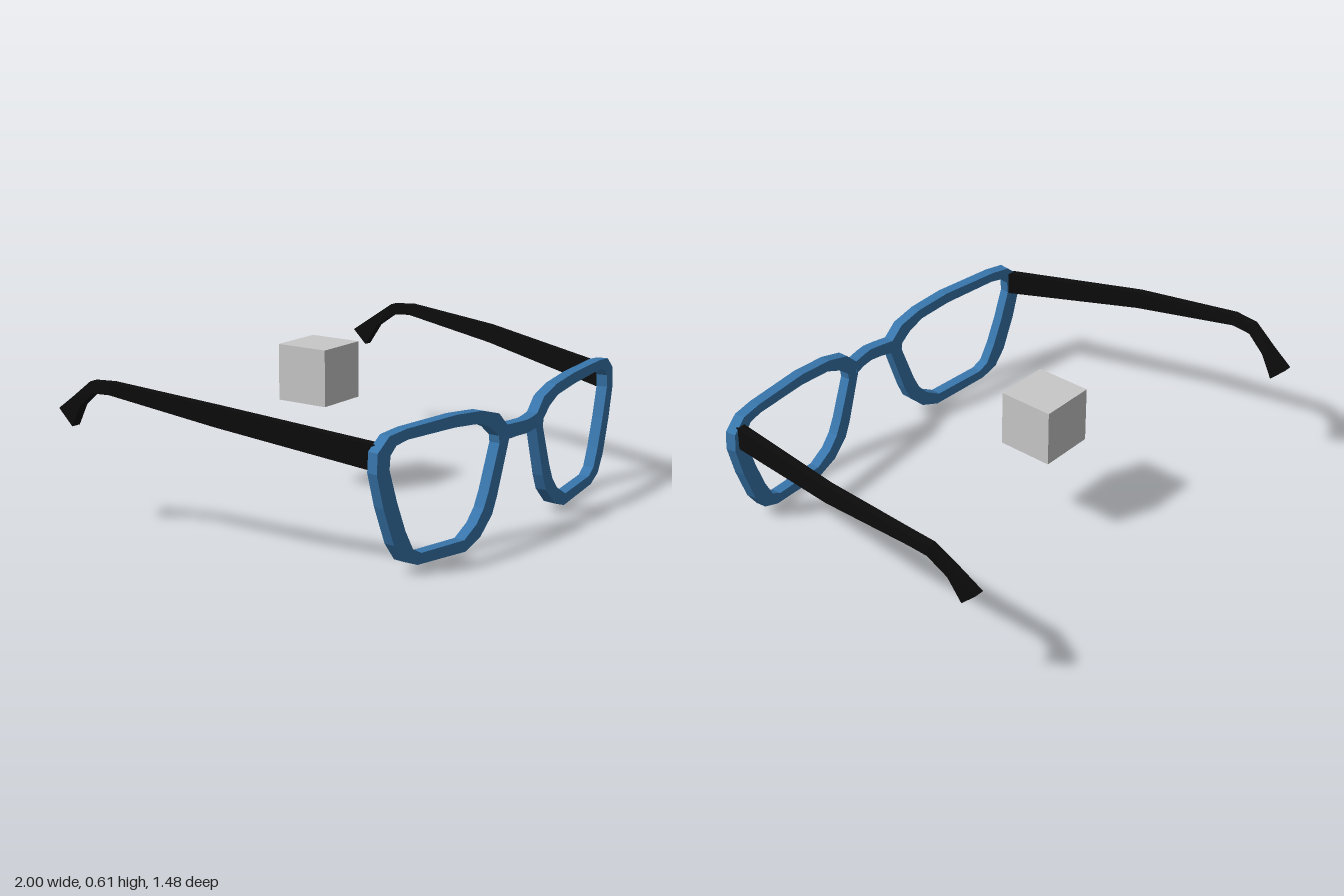
import * as THREE from 'three';

const frameBlue = new THREE.MeshStandardMaterial({ color: 0x3876ac });
frameBlue.name = 'frame blue';
const templeBlack = new THREE.MeshStandardMaterial({ color: 0x0c0c0c });
templeBlack.name = 'temple black';
const cubeGrey = new THREE.MeshStandardMaterial({ color: 0xc8c8c8 });
cubeGrey.name = 'cube grey';

// Skin four-cornered sections into a faceted solid, faces turned outward.
function loft(sections, closed) {
  const tris = [];
  const quad = (a, b, c, d) => tris.push([a, b, c], [a, c, d]);
  const n = sections.length;
  for (let i = 0; i < (closed ? n : n - 1); i++) {
    const p = sections[i], q = sections[(i + 1) % n];
    for (let k = 0; k < 4; k++) {
      const m = (k + 1) % 4;
      quad(p[k], p[m], q[m], q[k]);
    }
  }
  if (!closed) {
    quad(...[...sections[0]].reverse());
    quad(...sections[n - 1]);
  }
  // A negative enclosed volume means the winding is inside out.
  const v = (a) => new THREE.Vector3(...a);
  const volume = tris.reduce((s, [a, b, c]) => s + v(a).dot(v(b).cross(v(c))), 0);
  if (volume < 0) tris.forEach((t) => t.reverse());
  const geo = new THREE.BufferGeometry();
  geo.setAttribute('position', new THREE.Float32BufferAttribute(tris.flat(2), 3));
  geo.computeVertexNormals();
  return geo;
}

// Curve of the front: depth of its front surface across the width.
const CURVE = [[0, 0.736], [0.05, 0.728], [0.11, 0.714], [0.4, 0.697], [0.6, 0.675], [0.86, 0.643]];
function frontZ(x) {
  const a = Math.abs(x);
  let i = 1;
  while (i < CURVE.length - 1 && a > CURVE[i][0]) i++;
  const [x0, z0] = CURVE[i - 1], [x1, z1] = CURVE[i];
  return z0 + ((a - x0) / (x1 - x0)) * (z1 - z0);
}
const onFront = (x, y) => [x, y, frontZ(x)];
const onBack = (x, y) => [x * 0.992, y, frontZ(x) - 0.045];

// Rim outline: outer x, outer y, inner x, inner y.
const RIM = [
  [0.79, 0.52, 0.755, 0.48], [0.7, 0.53, 0.695, 0.49], [0.43, 0.53, 0.44, 0.485],
  [0.27, 0.515, 0.285, 0.47], [0.165, 0.485, 0.215, 0.44], [0.11, 0.432, 0.165, 0.4],
  [0.1, 0.375, 0.16, 0.37], [0.17, 0.17, 0.225, 0.2], [0.2, 0.105, 0.255, 0.14],
  [0.275, 0.035, 0.3, 0.09], [0.365, 0.002, 0.375, 0.048], [0.64, 0.02, 0.62, 0.06],
  [0.715, 0.05, 0.665, 0.085], [0.765, 0.12, 0.705, 0.16], [0.82, 0.265, 0.75, 0.275],
  [0.855, 0.395, 0.79, 0.4], [0.85, 0.47, 0.785, 0.45],
];

// Temple sections: centre x, half width, top y, top z, bottom y, bottom z.
const TEMPLE = [
  [0.805, 0.019, 0.49, 0.612, 0.395, 0.612], [0.932, 0.016, 0.566, 0, 0.49, 0],
  [0.983, 0.017, 0.603, -0.45, 0.555, -0.455], [0.979, 0.018, 0.595, -0.55, 0.55, -0.54],
  [0.964, 0.019, 0.525, -0.65, 0.49, -0.62], [0.954, 0.02, 0.463, -0.74, 0.4, -0.675],
];

export function createModel() {
  const group = new THREE.Group();
  const add = (name, geo, mat) => {
    const mesh = new THREE.Mesh(geo, mat);
    mesh.name = name;
    group.add(mesh);
    return mesh;
  };

  for (const [side, s] of [['left', 1], ['right', -1]]) {
    // Rim around each lens opening
    add(side + 'Rim', loft(RIM.map(([ox, oy, ix, iy]) => [
      onFront(s * ox, oy), onFront(s * ix, iy), onBack(s * ix, iy), onBack(s * ox, oy),
    ]), true), frameBlue);

    // Temple arm with its hooked ear tip
    add(side + 'Temple', loft(TEMPLE.map(([x, w, ty, tz, by, bz]) => [
      [s * (x + w), ty, tz], [s * (x - w), ty, tz], [s * (x - w), by, bz], [s * (x + w), by, bz],
    ]), false), templeBlack);
  }

  // Bridge over the nose
  const bridge = [-0.11, -0.05, 0, 0.05, 0.11].map((x) => {
    const top = 0.432, bottom = Math.abs(x) > 0.1 ? 0.375 : 0.38;
    return [onFront(x, top), onFront(x, bottom), onBack(x, bottom), onBack(x, top)];
  });
  add('bridge', loft(bridge, false), frameBlue);

  // Loose cube between the temples
  add('cube', new THREE.BoxGeometry(0.23, 0.23, 0.23), cubeGrey).position.set(0, 0.497, -0.242);

  return group;
}
